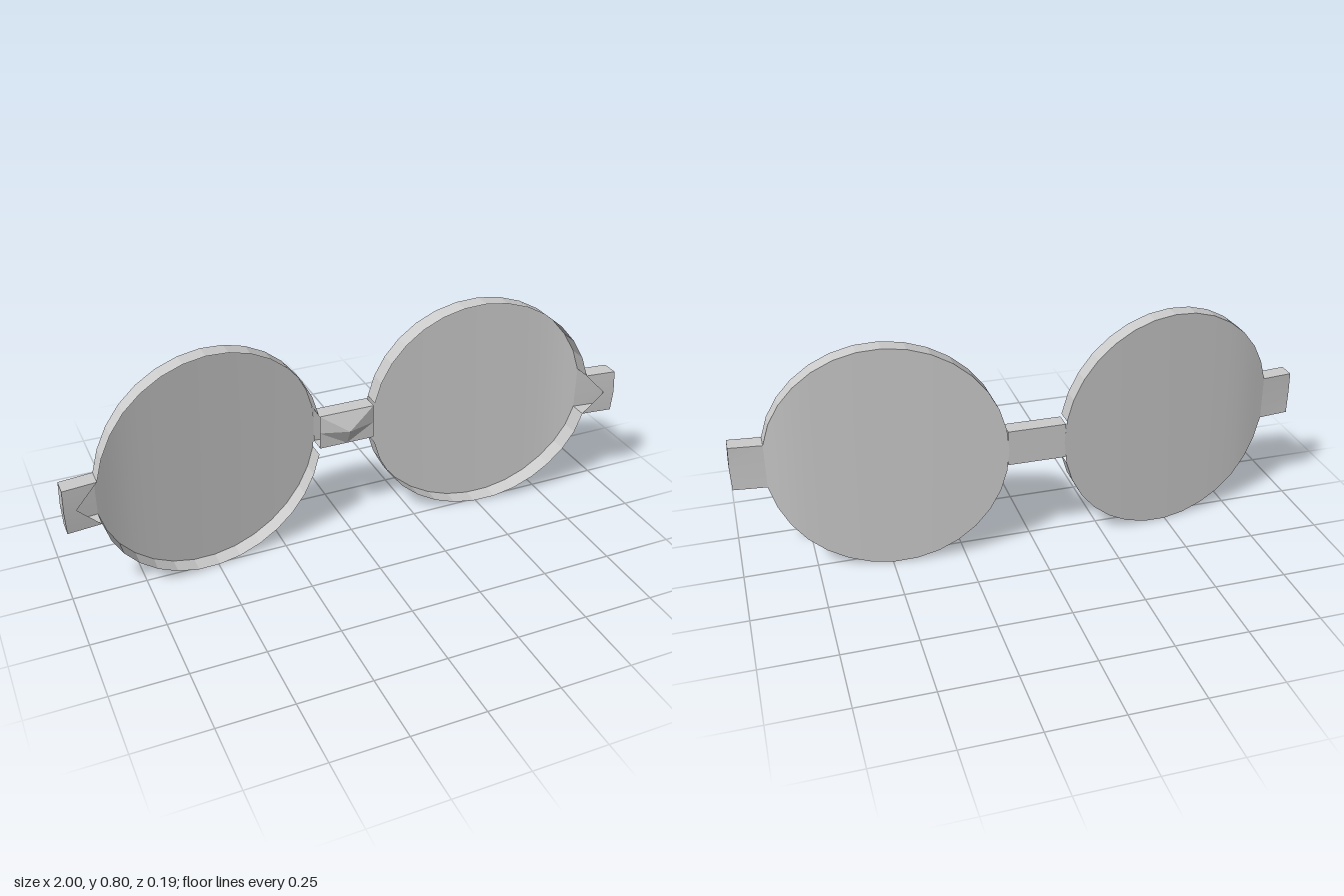
import * as THREE from 'three';
import { toCreasedNormals } from 'three/addons/utils/BufferGeometryUtils.js';

// The shells are open at the front, so both sides show
const material = new THREE.MeshStandardMaterial({ color: 0xcccccc, side: THREE.DoubleSide });
const CX = 0.495, CY = 0.3985, R = 0.3985, THICK = 0.061, SEGMENTS = 16;

// Back surface of the wrapped frame: [distance from centre, z]
const WRAP = [[0.1, -0.097], [0.3, -0.076], [0.5, -0.051], [0.7, -0.022], [0.8, -0.005], [0.886, 0.02], [1, 0.033]];
function backZ(x) {
  let i = 1;
  while (i < WRAP.length - 1 && x > WRAP[i][0]) i++;
  const [x0, z0] = WRAP[i - 1], [x1, z1] = WRAP[i];
  return THREE.MathUtils.lerp(z0, z1, (x - x0) / (x1 - x0));
}

// Mesh from convex faces (counter-clockwise from outside); side -1 mirrors in x
function facesMesh(name, faces, side = 1) {
  const pos = [];
  for (const f of faces) {
    for (let i = 1; i < f.length - 1; i++) {
      const tri = [f[0], f[i], f[i + 1]];
      if (side < 0) tri.reverse();
      for (const [x, y, z] of tri) pos.push(x * side, y, z);
    }
  }
  const geo = new THREE.BufferGeometry();
  geo.setAttribute('position', new THREE.Float32BufferAttribute(pos, 3));
  const mesh = new THREE.Mesh(toCreasedNormals(geo, 0.15), material);
  mesh.name = name;
  return mesh;
}

// Four corners of the lens at one column, counted from the bridge outward
function lensColumn(i) {
  const a = Math.PI * (1 - i / SEGMENTS);
  const x = CX + R * Math.cos(a), h = R * Math.sin(a), z = backZ(x);
  return {
    tf: [x, CY + h, z + THICK], bf: [x, CY - h, z + THICK],
    tb: [x, CY + h, z], bb: [x, CY - h, z],
  };
}

// Lens at the back of a thin rim that is open at the front, the bridge and the end piece
function lensFaces() {
  const faces = [];
  for (let i = 0; i < SEGMENTS - 1; i++) {
    const a = lensColumn(i), b = lensColumn(i + 1);
    faces.push([a.tb, b.tb, b.bb, a.bb]); // lens
    if (i === 0) continue;
    faces.push([a.tf, b.tf, b.tb, a.tb]); // upper rim
    faces.push([a.bf, a.bb, b.bb, b.bf]); // lower rim
  }
  return faces;
}

// Hollow, bowed end piece with a V-shaped notch in its front
function endPieceFaces() {
  const { tf, bf, tb, bb } = lensColumn(SEGMENTS - 1);
  const z = backZ(1);
  const TF = [0.997, tf[1], z + 0.06], BF = [0.997, bf[1], z + 0.06];
  const TB = [0.997, tf[1], z], BB = [0.997, bf[1], z];
  const MF = [1, CY, z + 0.064], MB = [1, CY, z + 0.003];
  const notch = [0.96, CY, 0.092];
  return [
    [tf, notch, TF], [bf, BF, notch], [TF, notch, MF], [notch, BF, MF], // front
    [tb, MB, bb], [tb, TB, MB], [bb, MB, BB],                           // back
    [tf, TF, TB, tb], [bf, bb, BB, BF],                                 // top and bottom
    [TF, MF, MB, TB], [MF, BF, BB, MB],                                 // bowed end
  ];
}

// Hollow bridge with a faceted point on the front, open towards the lenses
function bridgeFaces() {
  const w = 0.1, t = 0.467, m = 0.402, b = 0.342, zf = -0.038, zb = -0.097;
  const apex = [0, m, -0.008], low = [0, b, zf];
  const LT = [-w, t, zf], RT = [w, t, zf], LM = [-w, m, zf], RM = [w, m, zf];
  const LB = [-w, b, zf], RB = [w, b, zf];
  const lt = [-w, t, zb], rt = [w, t, zb], lb = [-w, b, zb], rb = [w, b, zb];
  return [
    [LT, apex, RT], [LT, LM, apex], [RT, apex, RM], // upper facets
    [LM, low, apex], [RM, apex, low],               // underside of the point
    [LM, LB, low], [RM, low, RB],                   // lower corners
    [LT, RT, rt, lt],                               // top
    [lt, rt, rb, lb],                               // back
    [LB, lb, rb, RB],                               // bottom
  ];
}

export function createModel() {
  const group = new THREE.Group();
  group.name = 'spectacleFront';
  for (const [label, side] of [['left', 1], ['right', -1]]) {
    group.add(facesMesh(label + 'Lens', lensFaces(), side));
    group.add(facesMesh(label + 'EndPiece', endPieceFaces(), side));
  }
  group.add(facesMesh('bridge', bridgeFaces()));
  return group;
}
